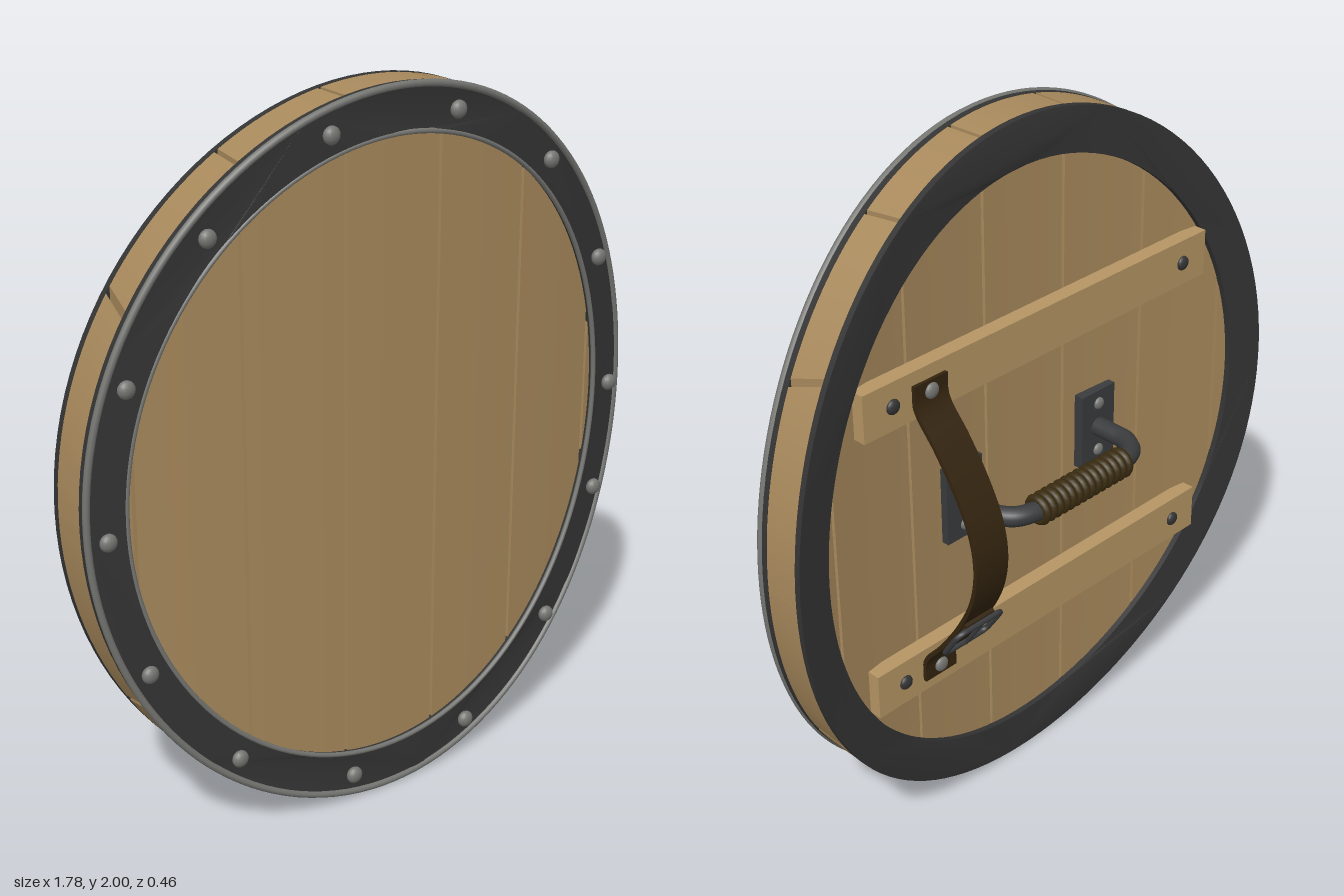
import * as THREE from 'three';
import { toCreasedNormals } from 'three/addons/utils/BufferGeometryUtils.js';

const BEND = 0.117; // how strongly the shield curves back towards its sides
const CY = 1;       // height of the shield centre
const A = 0.885, B = 0.995;

const flat = (name, color, side = THREE.FrontSide) => {
  const m = new THREE.MeshStandardMaterial({ color, side });
  m.name = name;
  return m;
};

export function createModel() {
  const wood = flat('plank wood', 0xa8895c);
  const paleWood = flat('batten wood', 0xb59564);
  const iron = flat('dark iron', 0x343434);
  const handleIron = flat('handle iron', 0x3a3b3d);
  const steel = flat('rivet steel', 0x757672);
  const leather = flat('strap leather', 0x33240f);
  const wrapLeather = flat('grip leather', 0x3a2c10);

  const group = new THREE.Group();
  const add = (name, geometry, material, x = 0, y = 0, z = 0, parent = group) => {
    const mesh = new THREE.Mesh(geometry, material);
    mesh.name = name;
    mesh.position.set(x, y, z);
    parent.add(mesh);
    return mesh;
  };

  // Move every vertex of a geometry by a rule
  const warp = (geometry, rule) => {
    const p = geometry.attributes.position, v = new THREE.Vector3();
    for (let i = 0; i < p.count; i++) {
      rule(v.fromBufferAttribute(p, i));
      p.setXYZ(i, v.x, v.y, v.z);
    }
    geometry.computeVertexNormals();
    return geometry;
  };

  // Planks: upright boards cut to an ellipse, with seams square to the curve
  const FRONT = 0.18, BACK = 0.065, GAP = 0.005;
  const pa = A - 0.001, pb = B - 0.001;
  const seams = [-pa, -0.75, -0.45, -0.15, 0.15, 0.45, 0.75, pa];
  for (let i = 0; i < seams.length - 1; i++) {
    const geo = warp(new THREE.BoxGeometry(1, 1, 1, 14, 1, 1), (v) => {
      const z = v.z > 0 ? FRONT : BACK;
      const squeeze = 1 - 2 * BEND * (FRONT - z);
      const x0 = i === 0 ? -pa : seams[i] * squeeze + GAP;
      const x1 = i === seams.length - 2 ? pa : seams[i + 1] * squeeze - GAP;
      const t = THREE.MathUtils.lerp(Math.asin(x0 / pa), Math.asin(x1 / pa), v.x + 0.5);
      const x = pa * Math.sin(t);
      v.set(x, CY + Math.sign(v.y) * pb * Math.cos(t), z - BEND * x * x);
    });
    add('plank', geo, wood);
  }

  // Iron rims: bent elliptical rings on the front and the back
  const rim = (name, z0, z1) => {
    const shape = new THREE.Shape().absellipse(0, 0, A, B, 0, Math.PI * 2);
    shape.holes.push(new THREE.Path().absellipse(0, 0, 0.775, 0.868, 0, Math.PI * 2, true));
    const geo = new THREE.ExtrudeGeometry(shape, { depth: z1 - z0, bevelEnabled: false, curveSegments: 60 });
    warp(geo, (v) => { v.y += CY; v.z += z0 - BEND * v.x * v.x; });
    add(name, toCreasedNormals(geo, 0.6), iron);
  };
  rim('frontRim', 0.172, 0.2);
  rim('backRim', 0.048, 0.066);

  // Thin steel beads along both edges of the front rim
  const bead = (name, a, b, z, r) => {
    const pts = [];
    for (let i = 0; i < 72; i++) {
      const t = (i / 72) * Math.PI * 2, x = a * Math.cos(t);
      pts.push(new THREE.Vector3(x, CY + b * Math.sin(t), z - BEND * x * x));
    }
    add(name, new THREE.TubeGeometry(new THREE.CatmullRomCurve3(pts, true), 144, r, 8, true), steel);
  };
  bead('outerBead', 0.88, 0.99, 0.197, 0.01);
  bead('innerBead', 0.777, 0.87, 0.195, 0.007);

  // Domed rivets around the rim
  const rivetGeo = new THREE.SphereGeometry(1, 16, 10);
  const rivet = (name, mat, x, y, z, r, depth) =>
    add(name, rivetGeo, mat, x, y, z).scale.set(r, r, depth);
  const angles = [0, 25.3, 50.6, 77.5, 104.8, 131.5, 157.5, 182, 207, 233, 260, 288, 314.7, 340.2];
  for (const deg of angles) {
    const t = THREE.MathUtils.degToRad(deg), x = 0.835 * Math.cos(t);
    rivet('rimRivet', steel, x, CY + 0.93 * Math.sin(t), 0.212 - BEND * x * x, 0.024, 0.017);
  }

  // Two straight battens across the back, with bolts
  for (const y of [1.425, 0.575]) {
    add('batten', new THREE.BoxGeometry(1.27, 0.135, 0.045), paleWood, 0, y, 0.003);
    for (const x of [-0.54, 0.54]) rivet('battenBolt', iron, x, y, -0.021, 0.021, 0.012);
  }

  // Handle: mounting plates, bent bar and wrapped grip
  for (const s of [-1, 1]) {
    add('handlePlate', new THREE.BoxGeometry(0.13, 0.23, 0.03), handleIron, s * 0.26, CY, 0.045);
    for (const dy of [-0.075, 0.075]) rivet('plateRivet', steel, s * 0.26, CY + dy, 0.029, 0.018, 0.011);
  }
  const half = [[0.26, 0.04], [0.26, -0.02], [0.256, -0.075], [0.226, -0.122], [0.175, -0.142], [0.09, -0.142]];
  const bar = [...half.map(([x, z]) => [-x, z]), ...half.slice().reverse()]
    .map(([x, z]) => new THREE.Vector3(x, CY, z));
  add('handleBar', new THREE.TubeGeometry(new THREE.CatmullRomCurve3(bar), 80, 0.028, 14), handleIron);
  const core = add('gripCore', new THREE.CylinderGeometry(0.037, 0.037, 0.34, 18), wrapLeather, 0, CY, -0.142);
  core.rotation.z = Math.PI / 2;
  const coil = new THREE.TorusGeometry(0.033, 0.012, 8, 20);
  for (let i = 0; i < 14; i++) {
    add('gripWrap', coil, wrapLeather, -0.16 + (i * 0.32) / 13, CY, -0.142).rotation.y = Math.PI / 2;
  }

  // Arm strap: a band swept along a bowed curve between the battens
  const SX = 0.42;
  const path = new THREE.CatmullRomCurve3([
    [1.455, -0.024], [1.39, -0.028], [1.3, -0.098], [1.2, -0.165], [1.1, -0.212], [1, -0.228],
    [0.9, -0.212], [0.8, -0.165], [0.7, -0.098], [0.61, -0.028], [0.545, -0.024],
  ].map(([y, z]) => new THREE.Vector3(0, y, z)));
  const band = (name, width, thick, u0, u1, lift) => {
    const geo = warp(new THREE.BoxGeometry(width, 1, thick, 1, 48, 1), (v) => {
      const u = THREE.MathUtils.lerp(u1, u0, v.y + 0.5);
      const p = path.getPointAt(u), t = path.getTangentAt(u), d = v.z - lift;
      v.set(SX + v.x, p.y + d * t.z, p.z - d * t.y);
    });
    add(name, geo, leather);
  };
  band('armStrap', 0.112, 0.012, 0, 1, 0);
  band('strapTip', 0.1, 0.01, 0.69, 0.82, 0.011);
  for (const y of [1.425, 0.575]) rivet('strapRivet', steel, SX, y, -0.031, 0.022, 0.012);

  // Buckle: rounded wire frame and prong lying on the strap
  const u = 0.755, at = path.getPointAt(u), tan = path.getTangentAt(u);
  const buckle = new THREE.Group();
  buckle.name = 'buckle';
  buckle.position.set(SX, at.y, at.z);
  buckle.rotation.x = Math.atan2(-tan.z, -tan.y);
  group.add(buckle);
  const frame = [[0.078, 0.04], [0.06, 0.056], [-0.06, 0.056], [-0.078, 0.04],
    [-0.078, -0.04], [-0.06, -0.056], [0.06, -0.056], [0.078, -0.04]]
    .map(([x, y]) => new THREE.Vector3(x, y, -0.02));
  const loop = new THREE.CatmullRomCurve3(frame, true, 'catmullrom', 0.2);
  add('buckleFrame', new THREE.TubeGeometry(loop, 64, 0.008, 8, true), handleIron, 0, 0, 0, buckle);
  add('bucklePin', new THREE.CylinderGeometry(0.006, 0.006, 0.112, 8), handleIron, 0, 0, -0.024, buckle);

  return group;
}
